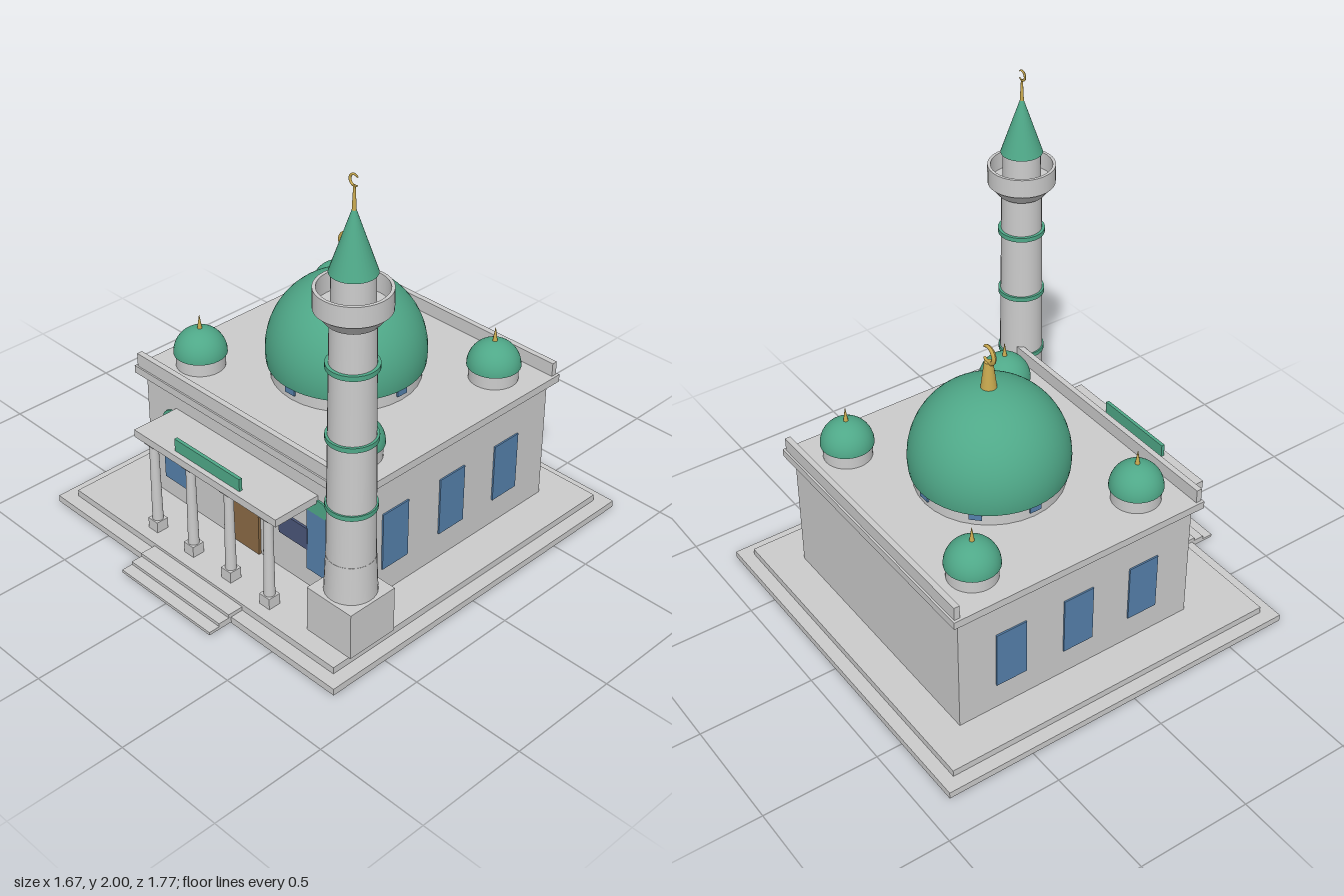
import * as THREE from 'three';

const paint = (color, side = THREE.FrontSide) => new THREE.MeshStandardMaterial({ color, side });
const stone = paint(0xcccccc);
const stoneThin = paint(0xcccccc, THREE.DoubleSide);
const green = paint(0x4fa888, THREE.DoubleSide);
const gold = paint(0xc9a94f);
const paleGold = paint(0xd6c56a);
const glass = paint(0x5580ab);
const wood = paint(0x8a6a45);
const slate = paint(0x4a5578);

export function createModel() {
  const root = new THREE.Group();

  const add = (name, geometry, material, x = 0, y = 0, z = 0, parent = root) => {
    const mesh = new THREE.Mesh(geometry, material);
    mesh.name = name;
    mesh.position.set(x, y, z);
    parent.add(mesh);
    return mesh;
  };
  // Box given by its limits on each axis
  const box = (name, material, x0, x1, y0, y1, z0, z1, parent = root) =>
    add(name, new THREE.BoxGeometry(x1 - x0, y1 - y0, z1 - z0), material,
      (x0 + x1) / 2, (y0 + y1) / 2, (z0 + z1) / 2, parent);
  // Upright round part from y0 to y1
  const round = (name, material, rBottom, rTop, y0, y1, x, z, parent = root) =>
    add(name, new THREE.CylinderGeometry(rTop, rBottom, y1 - y0, 32), material, x, (y0 + y1) / 2, z, parent);
  // Crescent opening towards +x, tapering to its tips
  const crescent = (name, r, tube, x, y, z, parent = root) => {
    const start = 0.7, arc = Math.PI * 2 - 1.4;
    const g = new THREE.TorusGeometry(r, tube, 10, 32, arc);
    const p = g.attributes.position;
    for (let i = 0; i < p.count; i++) {
      const a = (Math.atan2(p.getY(i), p.getX(i)) + Math.PI * 2 + 1e-6) % (Math.PI * 2);
      const k = 0.35 + 0.65 * Math.sqrt(Math.max(0, Math.sin(Math.PI * Math.min(1, a / arc))));
      const cx = r * Math.cos(a), cy = r * Math.sin(a);
      p.setXYZ(i, cx + (p.getX(i) - cx) * k, cy + (p.getY(i) - cy) * k, p.getZ(i) * k);
    }
    g.computeVertexNormals();
    add(name, g, gold, x, y, z, parent).rotation.z = start;
  };

  // Plinth and front steps
  box('lowerPlinth', stone, -0.835, 0.835, 0, 0.03, -0.887, 0.773);
  box('upperPlinth', stone, -0.775, 0.775, 0.03, 0.06, -0.83, 0.715);
  [[0.005, 0.018, 0.885], [0.018, 0.032, 0.835], [0.032, 0.047, 0.785]].forEach(([y0, y1, z1]) =>
    box('step', stone, -0.267, 0.267, y0, y1, 0.71, z1));

  // Hall, roof slab, front and back parapets
  const cz = -0.117, front = 0.447;
  box('hallWalls', stone, -0.598, 0.598, 0.06, 0.616, -0.68, front);
  box('roofSlab', stone, -0.632, 0.632, 0.616, 0.65, -0.716, 0.482);
  box('frontParapet', stone, -0.62, 0.62, 0.65, 0.71, 0.45, 0.475);
  box('backParapet', stone, -0.62, 0.62, 0.65, 0.71, -0.707, -0.682);

  // Side windows
  for (const s of [-1, 1]) {
    for (const z of [0.21, -0.113, -0.436]) {
      add('sideWindow', new THREE.BoxGeometry(0.014, 0.264, 0.142), glass, s * 0.598, 0.313, z);
    }
    // Arched front windows
    const x = s * 0.43;
    box('frontWindow', glass, x - 0.07, x + 0.07, 0.147, 0.435, front - 0.01, front + 0.008);
    const arch = new THREE.CylinderGeometry(0.07, 0.07, 0.018, 24, 1, false, Math.PI / 2, Math.PI);
    add('windowArch', arch, green, x, 0.435, front - 0.001).rotation.x = Math.PI / 2;
  }

  // Door, transom and notice board
  box('door', wood, -0.085, 0.085, 0.06, 0.4, front - 0.01, front + 0.012);
  box('doorTransom', paleGold, -0.085, 0.085, 0.4, 0.49, front - 0.01, front + 0.01);
  box('noticeBoard', slate, 0.203, 0.366, 0.24, 0.342, front - 0.01, front + 0.01);

  // Portico
  const portico = new THREE.Group();
  portico.name = 'portico';
  root.add(portico);
  box('porticoRoof', stone, -0.416, 0.416, 0.49, 0.524, front - 0.01, 0.668, portico);
  box('porticoPanel', green, -0.19, 0.19, 0.524, 0.58, 0.63, 0.645, portico);
  for (const x of [-0.338, -0.113, 0.113, 0.338]) {
    const z = 0.634;
    box('columnBase', stone, x - 0.028, x + 0.028, 0.06, 0.11, z - 0.028, z + 0.028, portico);
    round('columnShaft', stone, 0.023, 0.019, 0.11, 0.478, x, z, portico);
    box('columnCapital', stone, x - 0.026, x + 0.026, 0.478, 0.49, z - 0.026, z + 0.026, portico);
  }

  // Main dome on a windowed drum
  round('mainDrum', stone, 0.312, 0.312, 0.65, 0.715, 0, cz);
  for (let i = 0; i < 8; i++) {
    const a = (i * Math.PI) / 4;
    add('drumWindow', new THREE.BoxGeometry(0.052, 0.036, 0.016), glass,
      Math.sin(a) * 0.31, 0.695, cz + Math.cos(a) * 0.31).rotation.y = a;
  }
  const R = 0.332, domeY = 0.764;
  const cut = Math.PI / 2 + Math.asin((domeY - 0.71) / R);
  add('mainDome', new THREE.SphereGeometry(R, 48, 28, 0, Math.PI * 2, 0, cut), green, 0, domeY, cz);
  round('mainFinial', gold, 0.034, 0.018, 1.085, 1.213, 0, cz);
  crescent('mainCrescent', 0.037, 0.01, 0, 1.245, cz);

  // Corner domes
  for (const x of [-0.452, 0.452]) {
    for (const z of [-0.511, 0.277]) {
      round('cornerDrum', stone, 0.103, 0.103, 0.65, 0.712, x, z);
      add('cornerDome', new THREE.SphereGeometry(0.112, 32, 14, 0, Math.PI * 2, 0, Math.PI / 2), green, x, 0.71, z);
      round('cornerFinial', gold, 0.011, 0.001, 0.815, 0.882, x, z);
    }
  }

  // Minaret
  const minaret = new THREE.Group();
  minaret.name = 'minaret';
  minaret.position.set(0.667, 0, 0.518);
  root.add(minaret);
  const tier = (name, material, rBottom, rTop, y0, y1) =>
    round(name, material, rBottom, rTop, y0, y1, 0, 0, minaret);
  box('minaretBase', stone, -0.117, 0.117, 0.06, 0.265, -0.117, 0.117, minaret);
  tier('lowerShaft', stone, 0.104, 0.097, 0.265, 0.432);
  tier('upperShaft', stone, 0.096, 0.085, 0.432, 1.45);
  for (const y of [0.66, 0.96, 1.26]) tier('shaftRing', green, 0.1, 0.1, y - 0.01, y + 0.01);
  const balcony = [[0.085, 1.44], [0.1, 1.44], [0.14, 1.49], [0.143, 1.49], [0.143, 1.572],
    [0.13, 1.572], [0.13, 1.495], [0.07, 1.495]];
  // Each wall of the balcony is its own band so that the edges stay sharp
  for (let i = 0; i < balcony.length - 1; i++) {
    const pts = [balcony[i], balcony[i + 1]].map(([r, y]) => new THREE.Vector2(r, y));
    add('balcony', new THREE.LatheGeometry(pts, 32), stoneThin, 0, 0, 0, minaret);
  }
  tier('lantern', stone, 0.081, 0.079, 1.49, 1.632);
  tier('spire', green, 0.088, 0.003, 1.63, 1.88);
  tier('spireFinial', gold, 0.009, 0.004, 1.85, 1.957);
  crescent('spireCrescent', 0.021, 0.005, 0, 1.974, 0, minaret);

  return root;
}
